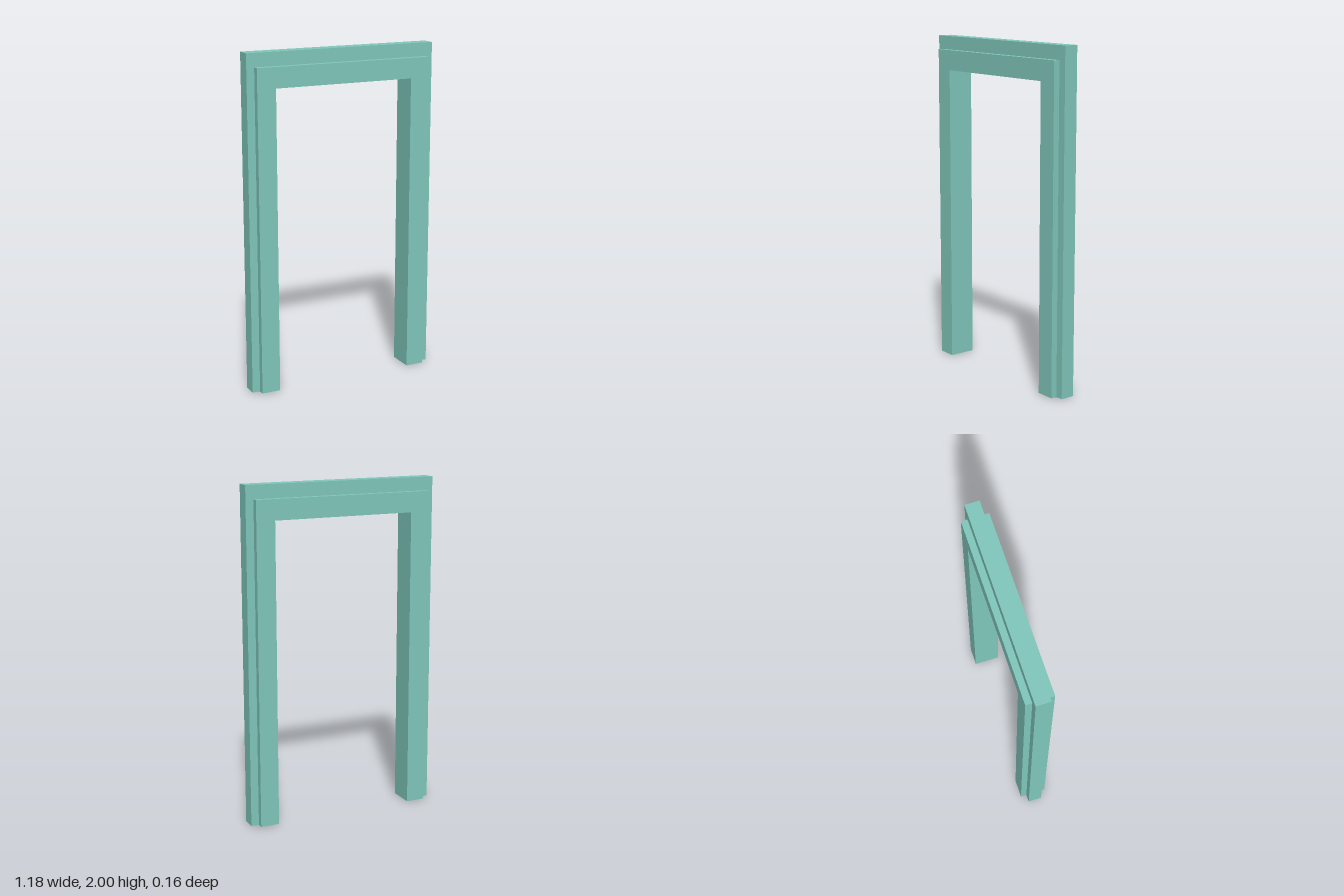
import * as THREE from 'three';

const PAD = 0.004;
const INNER = 0.43;
const OPENING_TOP = 1.8;

// Upside-down U outline extruded symmetrically about z = 0
function archGeometry(outer, top, depth) {
  const shape = new THREE.Shape([
    [-outer, PAD], [-outer, top], [outer, top], [outer, PAD],
    [INNER, PAD], [INNER, OPENING_TOP], [-INNER, OPENING_TOP], [-INNER, PAD],
  ].map(([x, y]) => new THREE.Vector2(x, y)));
  const geometry = new THREE.ExtrudeGeometry(shape, { depth, bevelEnabled: false });
  return geometry.translate(0, 0, -depth / 2);
}

export function createModel() {
  const group = new THREE.Group();
  group.name = 'doorFrame';
  const material = new THREE.MeshStandardMaterial({ color: 0x80c8bc });

  function add(name, geometry, x = 0, y = 0, z = 0) {
    const mesh = new THREE.Mesh(geometry, material);
    mesh.name = name;
    mesh.position.set(x, y, z);
    group.add(mesh);
  }

  // Wide, thin core
  add('frameCore', archGeometry(0.59, 2, 0.085));

  // Narrower casing raised on the front and back faces
  const casingDepth = 0.0375;
  for (const [name, side] of [['frontCasing', 1], ['backCasing', -1]]) {
    add(name, archGeometry(0.543, 1.92, casingDepth), 0, 0, side * (0.0425 + casingDepth / 2));
  }

  // Thin pads under the jambs
  for (const [name, side] of [['leftFootPad', 1], ['rightFootPad', -1]]) {
    add(name, new THREE.BoxGeometry(0.08, PAD, 0.085), side * 0.505, PAD / 2, 0);
  }

  return group;
}
